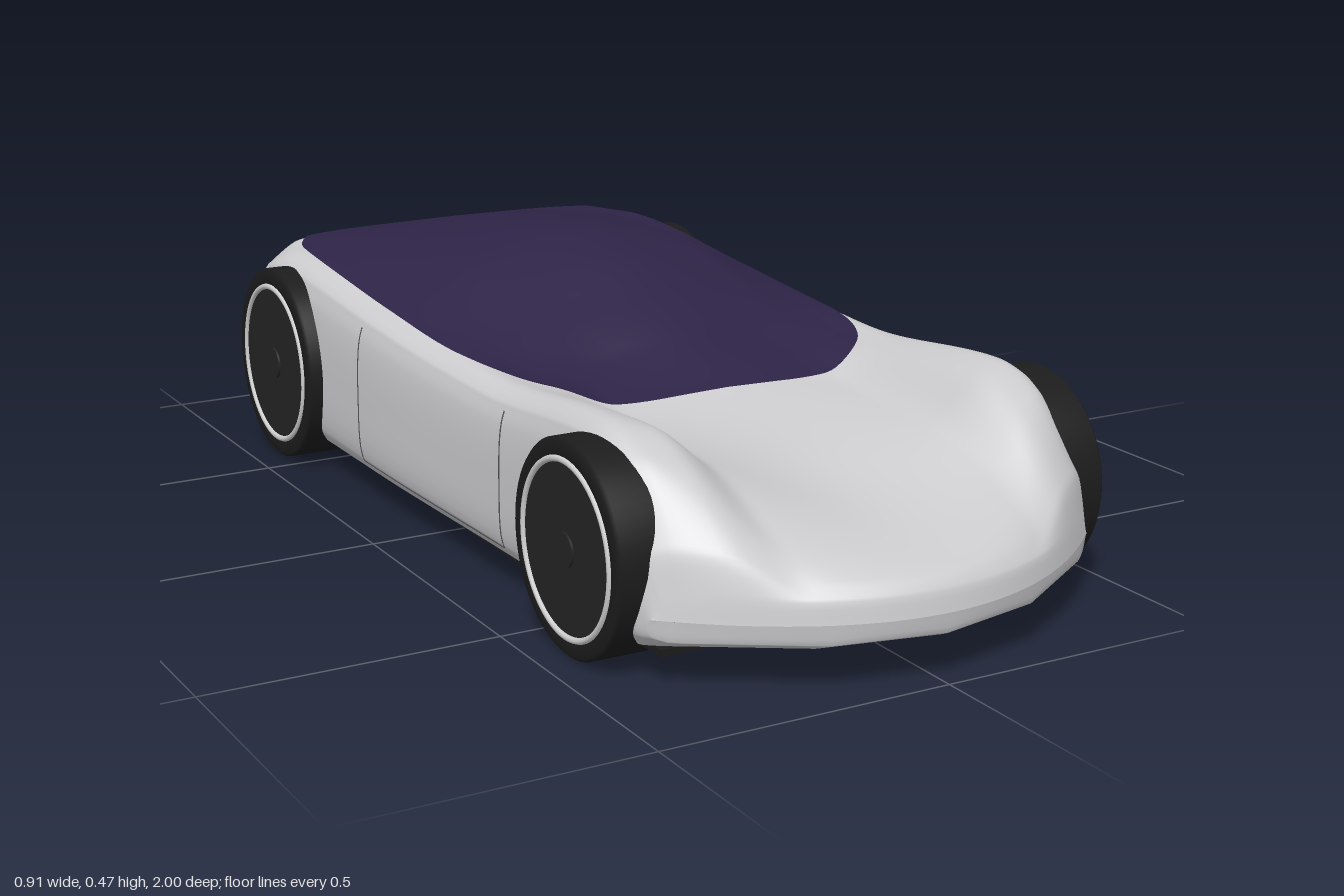
import * as THREE from 'three';

const mat = (name, color, side = THREE.FrontSide) => {
  const m = new THREE.MeshStandardMaterial({ color, side });
  m.name = name;
  return m;
};

// Lengthwise body curves as [s, value], from tail (-1) to nose (1)
const WIDTH = [[-1, 0.39], [-0.95, 0.42], [-0.75, 0.425], [-0.2, 0.424], [0.4, 0.41], [0.8, 0.42],
  [0.97, 0.42], [1, 0.405]];
const BOTTOM = [[-1, 0.2], [-0.99, 0.155], [-0.88, 0.095], [-0.6, 0.055], [0.9, 0.055],
  [0.993, 0.08], [1, 0.115]];
const CENTRE = [[-1, 0.2], [-0.99, 0.24], [-0.88, 0.34], [-0.75, 0.39], [-0.4, 0.452], [-0.2, 0.47],
  [-0.05, 0.452], [0.1, 0.4], [0.25, 0.337], [0.35, 0.3], [0.65, 0.24], [0.97, 0.172],
  [0.993, 0.15], [1, 0.115]];
const MIDDLE = [[-1, 0.2], [-0.99, 0.24], [-0.88, 0.34], [-0.75, 0.388], [-0.2, 0.435], [0.1, 0.37],
  [0.25, 0.316], [0.4, 0.288], [0.65, 0.28], [0.9, 0.215], [0.993, 0.15], [1, 0.115]];
const HAUNCH = [[-1, 0.2], [-0.99, 0.24], [-0.88, 0.338], [-0.75, 0.385], [-0.5, 0.391],
  [-0.2, 0.385], [0.1, 0.347], [0.25, 0.327], [0.65, 0.355], [0.8, 0.325], [0.97, 0.215],
  [0.993, 0.155], [1, 0.115]];
const FENDER = [[-1, 0.2], [-0.99, 0.235], [-0.88, 0.335], [-0.6, 0.385], [-0.2, 0.36], [0.1, 0.342],
  [0.25, 0.338], [0.6, 0.366], [0.8, 0.335], [0.97, 0.22], [0.993, 0.15], [1, 0.115]];

// Smooth interpolation that never overshoots its knots
function along(curve, x, flatStart = false) {
  const last = curve.length - 1;
  let i = 0;
  while (i < last - 1 && x > curve[i + 1][0]) i++;
  const slope = k => (curve[k + 1][1] - curve[k][1]) / (curve[k + 1][0] - curve[k][0]);
  const tangent = k => {
    if (k === 0) return flatStart ? 0 : slope(0);
    if (k === last) return slope(last - 1);
    const a = slope(k - 1), b = slope(k);
    return a * b <= 0 ? 0 : (2 * a * b) / (a + b);
  };
  const [x0, y0] = curve[i], [x1, y1] = curve[i + 1];
  const h = x1 - x0, t = (x - x0) / h, t2 = t * t, t3 = t2 * t;
  return (2 * t3 - 3 * t2 + 1) * y0 + (t3 - 2 * t2 + t) * h * tangent(i)
    + (3 * t2 - 2 * t3) * y1 + (t3 - t2) * h * tangent(i + 1);
}

function station(s) {
  const w = along(WIDTH, s), bottom = along(BOTTOM, s), fender = along(FENDER, s);
  const edge = bottom + (fender - bottom) * 0.935;
  const across = [[0, along(CENTRE, s)], [0.5, along(MIDDLE, s)], [0.75, along(HAUNCH, s)],
    [0.88, fender], [0.96, edge]];
  return { w, bottom, edge, top: x => along(across, Math.abs(x) / w, true) };
}

// Sweeps the corners of the nose and tail back in plan
function bend(x, s) {
  const k = Math.abs(x) / 0.42;
  return s - 0.2 * k ** 2 * THREE.MathUtils.smoothstep(s, 0.55, 1)
    + 0.2 * k ** 4 * THREE.MathUtils.smoothstep(-s, 0.6, 1);
}

// Side curve from shoulder to sill
function sidePoints({ w, bottom, edge }) {
  const p = [[0.96, 1], [0.988, 0.86], [1, 0.5], [0.985, 0.1], [0.94, 0]]
    .map(([a, b]) => new THREE.Vector3(a * w, bottom + b * (edge - bottom), 0));
  return new THREE.CatmullRomCurve3(p).getPoints(20);
}

function halfSection(s) {
  const st = station(s), pts = [];
  for (let i = 0; i < 32; i++) {
    const x = (i / 32) * 0.96 * st.w;
    pts.push([x, st.top(x)]);
  }
  sidePoints(st).forEach(p => pts.push([p.x, p.y]));
  pts.push([0.9 * st.w, st.bottom], [0.45 * st.w, st.bottom], [0, st.bottom]);
  return pts;
}

// Joins rows of points into a smooth surface
function skin(rows, closed) {
  const n = rows[0].length, index = [];
  for (let i = 0; i < rows.length - 1; i++) {
    for (let j = 0; j < (closed ? n : n - 1); j++) {
      const a = i * n + j, b = i * n + (j + 1) % n;
      index.push(a, a + n, b, b, a + n, b + n);
    }
  }
  const g = new THREE.BufferGeometry();
  g.setAttribute('position', new THREE.Float32BufferAttribute(rows.flat(2), 3));
  g.setIndex(index);
  g.computeVertexNormals();
  return g;
}

function bodyGeometry() {
  const rows = [];
  for (let i = 0; i <= 140; i++) {
    const s = Math.sin((i / 140 - 0.5) * Math.PI), half = halfSection(s);
    const mirrored = half.slice(1, -1).reverse().map(([x, y]) => [-x, y]);
    rows.push([...half, ...mirrored].map(([x, y]) => [x, y, bend(x, s)]));
  }
  return skin(rows, true);
}

// Rounded glass outline laid over the top of the body
function glassGeometry() {
  const rows = [];
  for (let i = 0; i <= 110; i++) {
    const u = Math.sin((i / 110 - 0.5) * Math.PI), s = -0.2375 + 0.5925 * u;
    const half = 0.375 * Math.max(0, 1 - Math.abs(u) ** 4.5) ** (1 / 4.5);
    const st = station(s), row = [];
    for (let j = -32; j <= 32; j++) {
      const x = (half * j) / 32;
      row.push([x, st.top(x) + 0.004, bend(x, s)]);
    }
    rows.push(row);
  }
  return skin(rows, false);
}

export function createModel() {
  const silver = mat('silver paint', 0xcccccf);
  const glass = mat('tinted glass', 0x2e2447, THREE.DoubleSide);
  const rubber = mat('black rubber', 0x1c1c1c);
  const hubBlack = mat('wheel black', 0x242424);
  const rimLight = mat('rim silver', 0xd0d0d0);
  const seam = mat('seam grey', 0x55555a);
  const car = new THREE.Group();
  car.name = 'car';

  const add = (parent, name, geometry, material, x = 0, y = 0, z = 0) => {
    const m = new THREE.Mesh(geometry, material);
    m.name = name;
    m.position.set(x, y, z);
    parent.add(m);
  };

  add(car, 'body', bodyGeometry(), silver);
  add(car, 'canopyGlass', glassGeometry(), glass);

  // Underside
  add(car, 'floor', new THREE.BoxGeometry(0.77, 0.012, 1.57), rubber, 0, 0.055, 0.02);
  add(car, 'floorPanel', new THREE.BoxGeometry(0.58, 0.004, 1.42), silver, 0, 0.048, 0.02);

  // Door seams on both sides
  for (const side of [-1, 1]) {
    const seamLine = (name, pts) => add(car, name, new THREE.TubeGeometry(
      new THREE.CatmullRomCurve3(pts), 24, 0.0015, 5), seam);
    for (const s of [0.32, -0.23]) {
      seamLine('doorSeam', sidePoints(station(s)).slice(2, 17)
        .map(p => new THREE.Vector3(side * p.x, p.y, s)));
    }
    seamLine('sillSeam', [0.32, 0.14, -0.04, -0.23].map(s => {
      const p = sidePoints(station(s))[16];
      return new THREE.Vector3(side * p.x, p.y, s);
    }));
  }

  // Wheels, built along +x and turned round for the other side
  for (const [name, z, r] of [['front', 0.625, 0.174], ['rear', -0.58, 0.183]]) {
    for (const side of [-1, 1]) {
      const wheel = new THREE.Group();
      wheel.name = name + (side > 0 ? 'LeftWheel' : 'RightWheel');
      wheel.position.set(side * 0.385, r, z);
      if (side < 0) wheel.rotation.y = Math.PI;
      const profile = [[0, -0.065], [r - 0.006, -0.065], [r, -0.059], [r, 0.059],
        [r - 0.006, 0.065], [r * 0.84, 0.065], [r * 0.82, 0.06], [0, 0.06]]
        .map(([a, b]) => new THREE.Vector2(a, b));
      const tyre = new THREE.LatheGeometry(profile, 64).rotateZ(-Math.PI / 2);
      add(wheel, 'tyre', tyre, rubber);
      const disc = (radius, depth) =>
        new THREE.CylinderGeometry(radius, radius, depth, 48).rotateZ(-Math.PI / 2);
      add(wheel, 'wheelFace', disc(r * 0.8, 0.008), hubBlack, 0.06);
      add(wheel, 'hubCap', disc(r * 0.16, 0.004), hubBlack, 0.066);
      add(wheel, 'rimRing', new THREE.TorusGeometry(r * 0.81, 0.0055, 8, 64)
        .rotateY(Math.PI / 2), rimLight, 0.064);
      car.add(wheel);
    }
  }
  return car;
}
